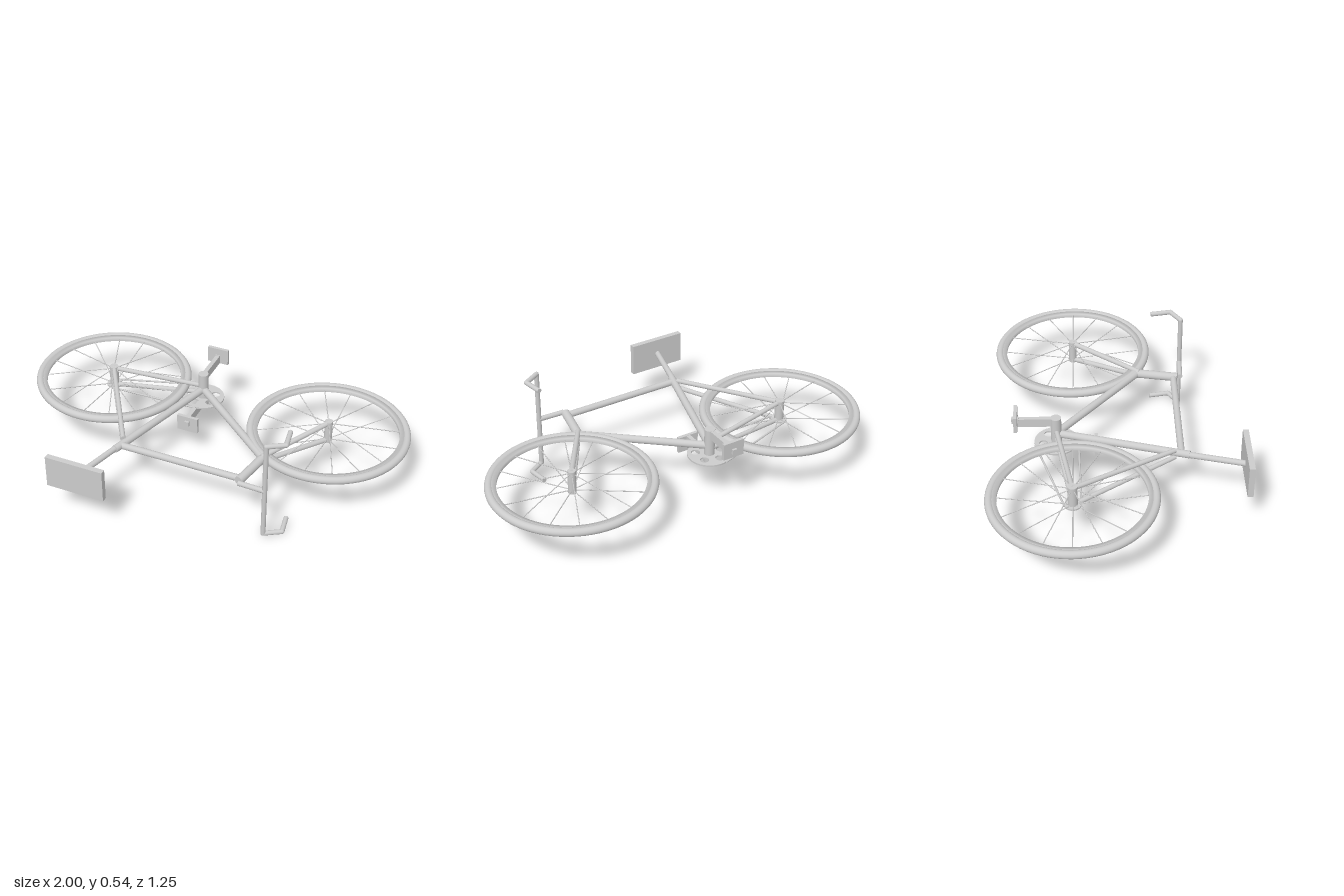
import * as THREE from 'three';

const mat = new THREE.MeshStandardMaterial({ color: 0xcccccc, side: THREE.DoubleSide });
const Y = 0.272; // height of the bicycle's centre plane, which lies flat
const V = (x, dy, z) => new THREE.Vector3(x, Y + dy, z);

export function createModel() {
  const root = new THREE.Group();
  const bicycle = new THREE.Group();
  bicycle.name = 'bicycle';
  root.add(bicycle);

  const add = (name, geo, pos, parent = bicycle) => {
    const m = new THREE.Mesh(geo, mat);
    m.name = name;
    if (pos) m.position.copy(pos);
    parent.add(m);
    return m;
  };

  // Round rod between two points
  const rod = (name, a, b, r, parent = bicycle, sides = 16) => {
    const d = b.clone().sub(a);
    const m = add(name, new THREE.CylinderGeometry(r, r, d.length(), sides), a.clone().lerp(b, 0.5), parent);
    m.quaternion.setFromUnitVectors(new THREE.Vector3(0, 1, 0), d.normalize());
    return m;
  };

  // Wheels: tyre, rim, hub and spokes running to alternate hub flanges
  const wheel = (name, x, hubR) => {
    const g = new THREE.Group();
    g.name = name;
    g.position.set(x, Y, -0.22);
    bicycle.add(g);
    add('tyre', new THREE.TorusGeometry(0.385, 0.02, 16, 72).rotateX(Math.PI / 2), null, g);
    const rim = [[0.35, -0.011], [0.375, -0.015], [0.375, 0.015], [0.35, 0.011], [0.35, -0.011]];
    add('rim', new THREE.LatheGeometry(rim.map(p => new THREE.Vector2(...p)), 72), null, g);
    add('hub', new THREE.CylinderGeometry(hubR, hubR, 0.122, 20), null, g);
    for (let i = 0; i < 16; i++) {
      const a = i * Math.PI / 8, c = Math.cos(a), s = Math.sin(a);
      const dy = i % 2 ? 0.045 : -0.045;
      rod('spoke', new THREE.Vector3(c * 0.015, dy, s * 0.015),
        new THREE.Vector3(c * 0.355, 0, s * 0.355), 0.0025, g, 6);
    }
  };
  wheel('rearWheel', -0.595, 0.023);
  wheel('frontWheel', 0.59, 0.02);

  // Frame
  const bx = -0.12, bz = -0.3;
  rod('seatTube', V(bx, 0, bz), V(-0.305, 0, 0.34), 0.019);
  rod('topTube', V(-0.295, 0, 0.3), V(0.34, 0, 0.3), 0.017);
  rod('downTube', V(bx, 0, bz), V(0.37, 0, 0.11), 0.019);
  rod('headTube', V(0.335, 0, 0.32), V(0.375, 0, 0.11), 0.022);
  for (const s of [-1, 1]) {
    rod('seatStay', V(-0.295, s * 0.02, 0.27), V(-0.595, s * 0.05, -0.22), 0.012);
    rod('chainStay', V(bx, s * 0.02, bz), V(-0.595, s * 0.05, -0.22), 0.012);
    rod('forkBlade', V(0.37, s * 0.012, 0.125), V(0.59, s * 0.05, -0.22), 0.013);
  }

  // Seat
  rod('seatPost', V(-0.3, 0, 0.31), V(-0.378, 0, 0.6), 0.015);
  add('saddle', new THREE.BoxGeometry(0.3, 0.168, 0.028), V(-0.375, 0, 0.611));

  // Handlebar with dropped ends
  rod('stem', V(0.34, 0, 0.335), V(0.475, 0, 0.34), 0.013);
  rod('handlebar', V(0.475, -0.26, 0.34), V(0.475, 0.26, 0.34), 0.012);
  for (const s of [-1, 1]) {
    const path = [[0.475, 0.34], [0.553, 0.292], [0.535, 0.19]].map(([x, z]) => V(x, s * 0.26, z));
    rod('handlebarDrop', path[0], path[1], 0.012);
    rod('grip', path[1], path[2], 0.012);
    for (const p of path.slice(0, 2)) add('handlebarBend', new THREE.SphereGeometry(0.012, 16, 10), p);
  }

  // Crank axle, arms and pedals
  rod('crankAxle', V(bx, -0.091, bz), V(bx, 0.094, bz), 0.026, bicycle, 24);
  for (const s of [-1, 1]) {
    const dy = s * 0.071, end = bz - s * 0.2;
    add('crankArm', new THREE.BoxGeometry(0.022, 0.045, 0.2), V(bx, dy, bz - s * 0.1));
    add('pedal', new THREE.BoxGeometry(0.112, 0.085, 0.017), V(bx, s * 0.09, end + s * 0.005));
    add('pedalPeg', new THREE.BoxGeometry(0.024, 0.026, 0.034), V(bx, s * 0.083, end + s * 0.002));
  }

  // Chainring with five round holes
  const ring = new THREE.Shape().absarc(0, 0, 0.108, 0, Math.PI * 2);
  for (let i = 0; i < 5; i++) {
    const a = (36 + 72 * i) * Math.PI / 180;
    ring.holes.push(new THREE.Path().absarc(Math.cos(a) * 0.066, Math.sin(a) * 0.066, 0.022, 0, Math.PI * 2, true));
  }
  const ringGeo = new THREE.ExtrudeGeometry(ring, { depth: 0.008, bevelEnabled: false, curveSegments: 24 });
  add('chainring', ringGeo.rotateX(-Math.PI / 2), V(bx, -0.053, bz));

  // Rear sprocket and chain runs
  add('sprocket', new THREE.CylinderGeometry(0.04, 0.04, 0.008, 24), V(-0.595, -0.049, -0.22));
  rod('chainUpper', V(-0.605, -0.049, -0.259), V(-0.148, -0.049, -0.404), 0.005, bicycle, 8);
  rod('chainLower', V(-0.593, -0.049, -0.18), V(-0.115, -0.049, -0.192), 0.005, bicycle, 8);

  return root;
}
